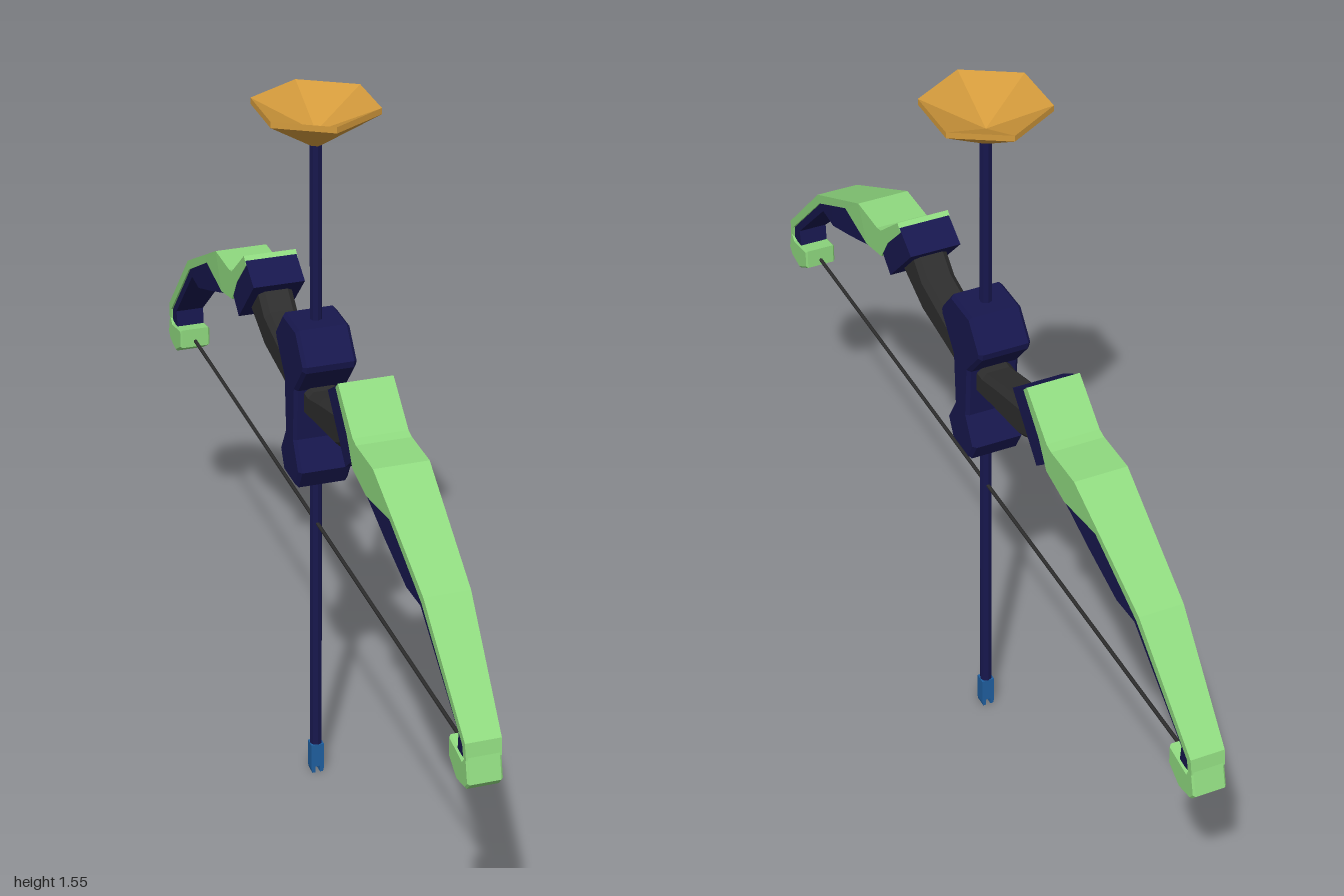
import * as THREE from 'three';

const mat = (color) => new THREE.MeshStandardMaterial({ color, flatShading: true });
const green = mat(0x8fd97f), navy = mat(0x17174d), black = mat(0x2d2d2d);
const gold = mat(0xd39a3c), blue = mat(0x1f5f9f);

function add(parent, name, geometry, material) {
  const mesh = new THREE.Mesh(geometry, material);
  mesh.name = name;
  parent.add(mesh);
  return mesh;
}

// Side profile of [z, y] points, extruded evenly to both sides of x = 0
function slab(points, halfWidth, bevel = 0) {
  const shape = new THREE.Shape(points.map(([z, y]) => new THREE.Vector2(z, y)));
  const depth = 2 * (halfWidth - bevel);
  const geometry = new THREE.ExtrudeGeometry(shape, {
    depth, bevelEnabled: bevel > 0, bevelSize: bevel, bevelThickness: bevel,
    bevelOffset: -bevel, bevelSegments: 1,
  });
  return geometry.translate(0, 0, -depth / 2).rotateY(-Math.PI / 2);
}

// Four-sided beam through stations [topZ, topY, bottomZ, bottomY, halfWidth]
function beam(stations) {
  const positions = [], index = [];
  stations.forEach(([tz, ty, bz, by, w], i) => {
    positions.push(w, ty, tz, -w, ty, tz, -w, by, bz, w, by, bz);
    if (i === 0) return;
    const a = (i - 1) * 4, b = i * 4;
    for (let j = 0; j < 4; j++) {
      const k = (j + 1) % 4;
      index.push(a + j, a + k, b + j, a + k, b + k, b + j);
    }
  });
  const e = (stations.length - 1) * 4;
  index.push(0, 2, 1, 0, 3, 2, e, e + 1, e + 2, e, e + 2, e + 3);
  const geometry = new THREE.BufferGeometry();
  geometry.setAttribute('position', new THREE.Float32BufferAttribute(positions, 3));
  geometry.setIndex(index);
  const flat = geometry.toNonIndexed();
  flat.computeVertexNormals();
  return flat;
}

// Close a half profile by mirroring it over z = 0
const mirrored = (half) => [...half, ...half.map(([z, y]) => [-z, y]).reverse()];

function createLimb() {
  const limb = new THREE.Group();
  limb.name = 'limb';
  // Angled collar joining limb to riser
  add(limb, 'limbCollar', slab([[0.245, 1.05], [0.355, 0.935], [0.41, 0.98], [0.302, 1.087]], 0.056), navy);
  // Outer plate, thick near the collar and thin towards the tip
  add(limb, 'limbPlate', beam([
    [0.31, 1.095, 0.295, 1.08, 0.057],
    [0.4, 1.02, 0.365, 1.01, 0.057],
    [0.42, 1.015, 0.4, 0.955, 0.057],
    [0.52, 1.015, 0.48, 0.937, 0.057],
    [0.62, 0.962, 0.605, 0.95, 0.053],
    [0.78, 0.877, 0.77, 0.86, 0.047],
    [0.982, 0.68, 0.968, 0.67, 0.036],
    [0.987, 0.645, 0.972, 0.645, 0.035],
  ]), green);
  // Inner core under the plate
  add(limb, 'limbCore', beam([
    [0.5, 0.965, 0.475, 0.935, 0.054],
    [0.61, 0.958, 0.58, 0.893, 0.052],
    [0.7, 0.912, 0.69, 0.85, 0.048],
    [0.775, 0.868, 0.757, 0.847, 0.044],
    [0.972, 0.675, 0.938, 0.677, 0.032],
    [0.976, 0.64, 0.932, 0.635, 0.031],
  ]), navy);
  // Tip block holding the string
  add(limb, 'limbTip', slab([
    [1, 0.6], [0.985, 0.655], [0.965, 0.635], [0.895, 0.647], [0.895, 0.602], [0.94, 0.575], [0.985, 0.583],
  ], 0.035, 0.004), green);
  return limb;
}

export function createModel() {
  const model = new THREE.Group();
  model.name = 'bowAndArrow';

  // Bow
  const front = createLimb(), back = createLimb();
  back.rotation.y = Math.PI;
  model.add(front, back);
  add(model, 'riser', slab(mirrored([
    [0.06, 0.95], [0.13, 0.97], [0.23, 0.995], [0.28, 1.04], [0.345, 0.965], [0.235, 0.913], [0.12, 0.897], [0.03, 0.882],
  ].reverse()), 0.037, 0.012), black);
  add(model, 'gripHub', slab(mirrored([
    [0.045, 1.085], [0.095, 1.025], [0.092, 1.01], [0.037, 0.945], [0.03, 0.83], [0.065, 0.77], [0.04, 0.725],
  ]), 0.057, 0.007), navy);
  const string = add(model, 'bowString', new THREE.CylinderGeometry(0.004, 0.004, 1.8, 6), black);
  string.rotation.x = Math.PI / 2;
  string.position.y = 0.616;

  // Arrow
  const shaft = add(model, 'arrowShaft', new THREE.CylinderGeometry(0.013, 0.013, 1.42, 8), navy);
  shaft.position.y = 0.78;
  const head = new THREE.LatheGeometry([
    [0, 1.455], [0.131, 1.537], [0.131, 1.55], [0, 1.49],
  ].map(([r, y]) => new THREE.Vector2(r, y)), 6);
  add(model, 'arrowHead', head, gold);
  // Nock with a string slot
  const nock = new THREE.Shape([
    [-0.014, 0.01], [-0.012, 0], [-0.005, 0], [-0.005, 0.015], [0.005, 0.015],
    [0.005, 0], [0.012, 0], [0.014, 0.01], [0.014, 0.07], [-0.014, 0.07],
  ].map(([x, y]) => new THREE.Vector2(x, y)));
  const nockGeometry = new THREE.ExtrudeGeometry(nock, { depth: 0.026, bevelEnabled: false });
  add(model, 'arrowNock', nockGeometry.translate(0, 0, -0.013), blue);
  return model;
}
